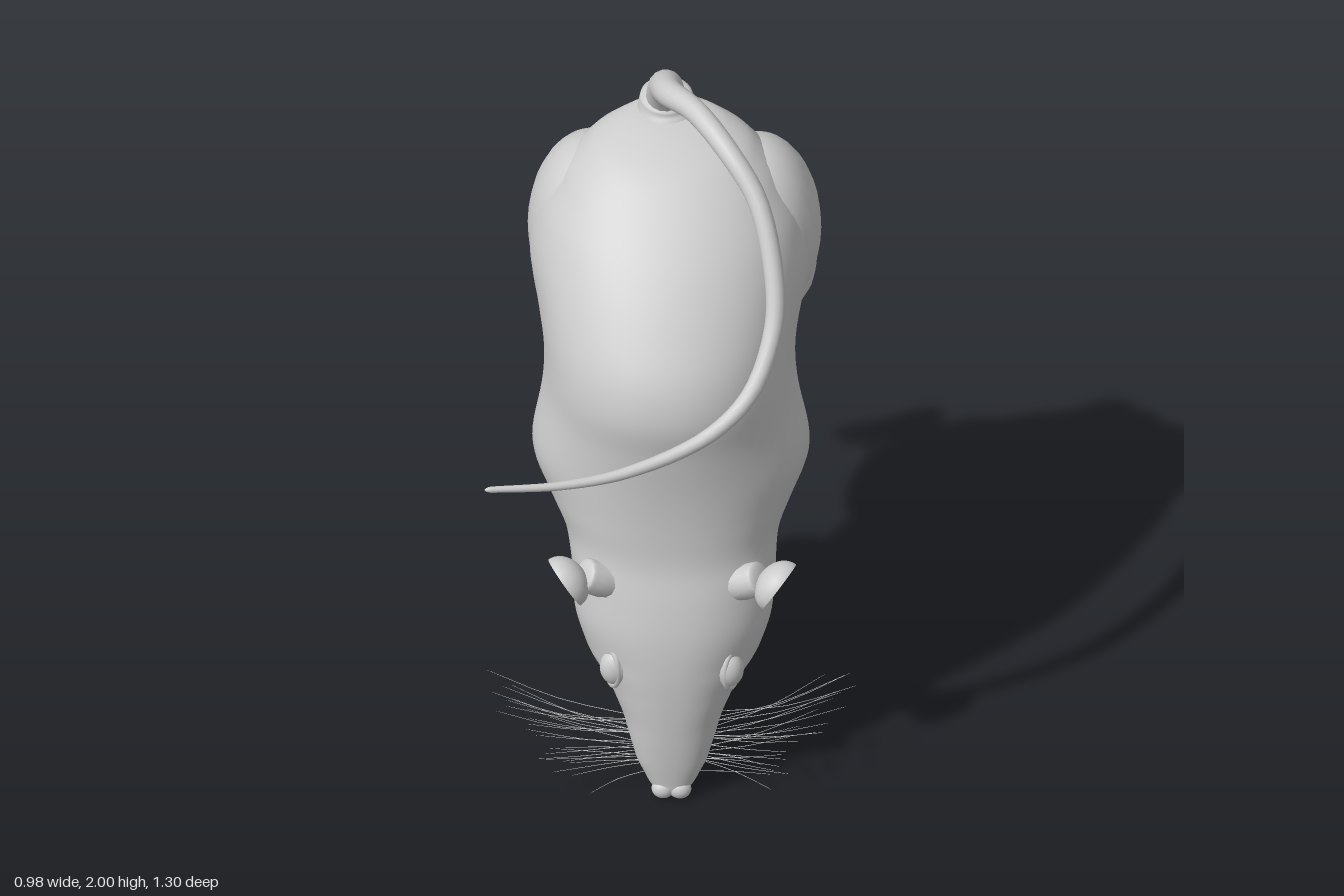
import * as THREE from 'three';

const mat = new THREE.MeshStandardMaterial({ color: 0xcccccc, side: THREE.DoubleSide });
const V = (x, y, z) => new THREE.Vector3(x, y, z);

// Smooth skin over rings of equal point count
function skin(rings) {
  const n = rings[0].length, pos = [], idx = [];
  rings.forEach(r => r.forEach(p => pos.push(p.x, p.y, p.z)));
  for (let i = 0; i < rings.length - 1; i++) {
    for (let j = 0; j < n; j++) {
      const a = i * n + j, b = i * n + (j + 1) % n;
      idx.push(a, b, b + n, a, b + n, a + n);
    }
  }
  const g = new THREE.BufferGeometry();
  g.setAttribute('position', new THREE.Float32BufferAttribute(pos, 3));
  g.setIndex(idx);
  g.computeVertexNormals();
  return g;
}

// Tapered limb: points [x, y, z, radius]; flat squeezes it across the ref direction
function limb(pts, { segs = 20, sides = 14, flat = 1, ref = V(1, 0, 0), cap = 0.08 } = {}) {
  const path = new THREE.CatmullRomCurve3(pts.map(p => V(p[0], p[1], p[2])));
  const radii = new THREE.CatmullRomCurve3(pts.map(p => V(p[3], 0, 0)));
  const rings = [];
  for (let i = 0; i <= segs; i++) {
    const t = (1 - Math.cos(Math.PI * i / segs)) / 2;
    const c = path.getPoint(t), T = path.getTangent(t);
    const S = ref.clone().addScaledVector(T, -ref.dot(T)).normalize();
    const N = T.clone().cross(S);
    const k = Math.max(0, 1 - Math.min(t, 1 - t) / cap);
    const r = radii.getPoint(t).x * Math.sqrt(1 - k * k);
    rings.push(Array.from({ length: sides }, (_, j) => {
      const a = j / sides * Math.PI * 2;
      return c.clone().addScaledVector(S, r * Math.cos(a)).addScaledVector(N, r * flat * Math.sin(a));
    }));
  }
  return skin(rings);
}

// Body sections: [y, front z, back z, half width, centre x, roundness]
const SECTIONS = [
  [0.005, 0.275, 0.255, 0.004, 0, 1],
  [0.02, 0.292, 0.235, 0.04, 0, 1],
  [0.06, 0.298, 0.205, 0.068, 0, 0.95],
  [0.12, 0.304, 0.165, 0.096, 0, 0.9],
  [0.22, 0.31, 0.105, 0.125, 0, 0.88],
  [0.32, 0.313, 0.065, 0.165, 0, 0.85],
  [0.42, 0.312, 0.015, 0.225, 0, 0.88],
  [0.52, 0.302, -0.035, 0.257, 0, 0.9],
  [0.62, 0.28, -0.095, 0.265, 0, 0.92],
  [0.72, 0.253, -0.17, 0.272, -0.005, 0.92],
  [0.82, 0.245, -0.24, 0.295, -0.01, 0.92],
  [0.94, 0.245, -0.32, 0.318, -0.012, 0.94],
  [1.08, 0.256, -0.405, 0.322, -0.015, 0.95],
  [1.2, 0.268, -0.452, 0.322, -0.018, 0.95],
  [1.3, 0.243, -0.47, 0.325, -0.02, 0.97],
  [1.42, 0.165, -0.475, 0.325, -0.02, 0.97],
  [1.54, 0.063, -0.48, 0.308, -0.02, 0.97],
  [1.64, -0.048, -0.475, 0.265, -0.02, 0.95],
  [1.71, -0.145, -0.46, 0.21, -0.02, 0.95],
  [1.755, -0.25, -0.445, 0.135, -0.02, 1],
  [1.775, -0.34, -0.43, 0.04, -0.03, 1],
  [1.778, -0.385, -0.395, 0.004, -0.03, 1],
];

// Muscle swellings on each flank: [x, y, z, height, spread]
const SWELLINGS = [
  [0.32, 1.4, -0.32, 0.065, 0.18],
  [0.2, 1.53, -0.46, 0.045, 0.15],
  [0.32, 0.93, -0.03, 0.04, 0.15],
  [0.19, 0.84, -0.2, 0.06, 0.14],
];

function bodyGeometry() {
  const A = new THREE.CatmullRomCurve3(SECTIONS.map(s => V(s[0], s[1], s[2])), false, 'centripetal');
  const B = new THREE.CatmullRomCurve3(SECTIONS.map(s => V(s[3], s[4], s[5])), false, 'catmullrom', 0.4);
  const pw = (v, e) => Math.sign(v) * Math.abs(v) ** e;
  const rings = [];
  for (let i = 0; i <= 120; i++) {
    const a = A.getPoint(i / 120), b = B.getPoint(i / 120);
    // the face is narrower along its top than at the cheeks
    const taper = 0.25 * Math.max(0, 1 - Math.abs(a.x - 0.42) / 0.25);
    rings.push(Array.from({ length: 60 }, (_, j) => {
      const t = j / 60 * Math.PI * 2;
      const w = Math.max(b.x, 0.002) * (1 - taper * Math.max(0, -Math.sin(t)));
      const p = V(w * pw(Math.cos(t), b.z), a.x, (a.y + a.z) / 2 - (a.y - a.z) / 2 * pw(Math.sin(t), b.z));
      const out = V(Math.cos(t), 0, -Math.sin(t));
      const swell = SWELLINGS.reduce((sum, [x, y, z, h, r]) =>
        sum + h * Math.exp(-V(Math.abs(p.x) - x, p.y - y, p.z - z).lengthSq() / (r * r)), 0);
      p.addScaledVector(out, swell);
      p.x += b.y;
      return p;
    }));
  }
  return skin(rings);
}

export function createModel() {
  const model = new THREE.Group();
  model.name = 'rat';
  const add = (name, geo, parent = model) => {
    const m = new THREE.Mesh(geo, mat);
    m.name = name;
    parent.add(m);
    return m;
  };
  const ball = (name, c, r, parent) => {
    const m = add(name, new THREE.SphereGeometry(1, 28, 20), parent);
    m.position.set(...c);
    m.scale.set(...r);
    return m;
  };
  let seed = 7;
  const rnd = () => (seed = (seed * 16807) % 2147483647) / 2147483647;

  add('body', bodyGeometry());

  // Tail with its fleshy collar
  add('tail', limb([
    [-0.035, 1.75, -0.41, 0.058], [-0.035, 1.88, -0.315, 0.046], [-0.018, 1.945, -0.2, 0.037],
    [0.05, 1.967, -0.1, 0.031], [0.14, 1.928, 0.02, 0.029], [0.22, 1.835, 0.11, 0.027],
    [0.266, 1.67, 0.215, 0.026], [0.266, 1.55, 0.285, 0.025], [0.21, 1.41, 0.38, 0.023],
    [0.1, 1.32, 0.45, 0.02], [-0.1, 1.265, 0.535, 0.016], [-0.27, 1.258, 0.59, 0.012],
    [-0.475, 1.28, 0.645, 0.008],
  ], { segs: 80, sides: 16, ref: V(0.7, 0.7, 0), cap: 0.008 }));
  add('tailCollar', limb([
    [-0.03, 1.66, -0.36, 0.12], [-0.032, 1.72, -0.375, 0.094], [-0.035, 1.775, -0.384, 0.075], [-0.035, 1.815, -0.38, 0.066],
  ], { sides: 28, cap: 0.1 }));

  // Nose, lower jaw and teeth
  for (const s of [-1, 1]) ball('nosePad', [s * 0.022, 0.03, 0.277], [0.03, 0.027, 0.026]);
  add('lowerJaw', limb([[0, 0.1, 0.185, 0.02], [0, 0.18, 0.152, 0.032], [0, 0.27, 0.122, 0.036], [0, 0.36, 0.09, 0.03]]));
  for (const s of [-1, 1]) {
    add('incisor', limb([[s * 0.01, 0.07, 0.22, 0.01], [s * 0.01, 0.075, 0.19, 0.009], [s * 0.008, 0.09, 0.165, 0.005]], { segs: 8, sides: 8 }));
  }

  for (const s of [-1, 1]) {
    const side = s > 0 ? 'left' : 'right';
    const X = x => s * x - 0.012;

    // Eye and lids
    ball(side + 'Eye', [s * 0.148, 0.405, 0.25], [0.04, 0.052, 0.036]);
    const lid = add(side + 'Eyelid', new THREE.TorusGeometry(0.04, 0.008, 8, 28));
    lid.position.set(s * 0.156, 0.405, 0.253);
    lid.scale.set(0.8, 1.35, 1);
    lid.rotation.y = s * 0.95;

    // Trumpet-shaped ear opening outward
    const cup = add(side + 'Ear', new THREE.SphereGeometry(0.074, 28, 12, 0, Math.PI * 2, 0, Math.PI * 0.5));
    cup.position.set(s * 0.28, 0.673, 0.243);
    cup.quaternion.setFromUnitVectors(V(0, -1, 0), V(s * 0.8, -0.5, 0.3).normalize());
    cup.scale.set(1, 0.8, 0.95);
    add(side + 'EarBase', limb([[s * 0.14, 0.64, 0.17, 0.06], [s * 0.185, 0.66, 0.205, 0.05], [s * 0.235, 0.69, 0.228, 0.044]]));

    // Front leg
    const front = new THREE.Group();
    front.name = side + 'FrontLeg';
    model.add(front);
    add('arm', limb([
      [X(0.13), 0.88, 0.04, 0.08], [X(0.175), 0.85, -0.12, 0.122], [X(0.177), 0.825, -0.24, 0.114],
      [X(0.16), 0.765, -0.345, 0.07], [X(0.127), 0.675, -0.425, 0.038], [X(0.1), 0.595, -0.47, 0.035],
    ], { segs: 30, sides: 24 }), front);
    add('palm', limb([[X(0.115), 0.65, -0.44, 0.034], [X(0.1), 0.6, -0.468, 0.052], [X(0.088), 0.55, -0.495, 0.046]], { flat: 0.5, cap: 0.25 }), front);
    for (let i = 0; i < 5; i++) {
      const f = (i - 2) / 2, drop = 0.066 - 0.03 * f * f, top = 0.57 + 0.015 * f * f;
      const x0 = 0.09 + f * 0.038, x1 = 0.085 + f * 0.068;
      add('finger', limb([[X(x0), top, -0.482, 0.015], [X((x0 + x1) / 2), top - drop * 0.45, -0.508, 0.012],
        [X(x1), top - drop * 0.8, -0.515, 0.014], [X(x1), top - drop - 0.012, -0.525, 0.004]], { segs: 10, sides: 8 }), front);
    }

    // Hind leg
    const hind = new THREE.Group();
    hind.name = side + 'HindLeg';
    model.add(hind);
    const thigh = ball('thigh', [X(0.215), 1.43, -0.315], [0.168, 0.26, 0.202], hind);
    thigh.rotation.x = -0.15;
    add('shin', limb([
      [X(0.24), 1.3, -0.2, 0.085], [X(0.26), 1.295, -0.32, 0.108], [X(0.278), 1.345, -0.42, 0.092],
      [X(0.285), 1.42, -0.5, 0.052], [X(0.285), 1.462, -0.562, 0.037],
    ], { segs: 26, sides: 20 }), hind);
    add('foot', limb([
      [X(0.285), 1.49, -0.555, 0.038], [X(0.275), 1.43, -0.59, 0.035], [X(0.26), 1.34, -0.612, 0.045],
      [X(0.235), 1.26, -0.626, 0.066], [X(0.225), 1.2, -0.632, 0.058],
    ], { segs: 24, flat: 0.42, cap: 0.12 }), hind);
    for (let i = 0; i < 5; i++) {
      const f = (i - 2) / 2, drop = 0.11 - 0.05 * f * f, top = 1.225 + 0.035 * f * f;
      const x0 = 0.23 + f * 0.048, x1 = 0.218 + f * 0.122;
      add('toe', limb([[X(x0), top, -0.628, 0.017], [X((x0 + x1) / 2), top - drop * 0.5, -0.64, 0.014],
        [X(x1), top - drop, -0.63, 0.017], [X(0.218 + f * 0.132), top - drop - 0.035, -0.637, 0.004]], { segs: 12, sides: 8 }), hind);
    }

    // Whiskers fan out from the muzzle
    const whiskers = new THREE.Group();
    whiskers.name = side + 'Whiskers';
    model.add(whiskers);
    for (let i = 0; i < 24; i++) {
      const u = i / 23, y0 = 0.07 + 0.15 * u, x0 = 0.065 + 0.045 * u;
      const len = 0.15 + 0.19 * u + 0.05 * rnd();
      const z0 = 0.19 + 0.07 * rnd(), dz = 0.08 - 0.26 * rnd() * (0.4 + 0.6 * u);
      const rise = (u - 0.25) * 0.13 + 0.04 * (rnd() - 0.5);
      add('whisker', limb([[s * x0, y0, z0, 0.0012], [s * (x0 + len * 0.5), y0 + rise * 0.25, z0 + dz * 0.5, 0.001],
        [s * (x0 + len), y0 + rise, z0 + dz, 0.0006]], { segs: 8, sides: 4, ref: V(0, 1, 0) }), whiskers);
    }
  }
  return model;
}
